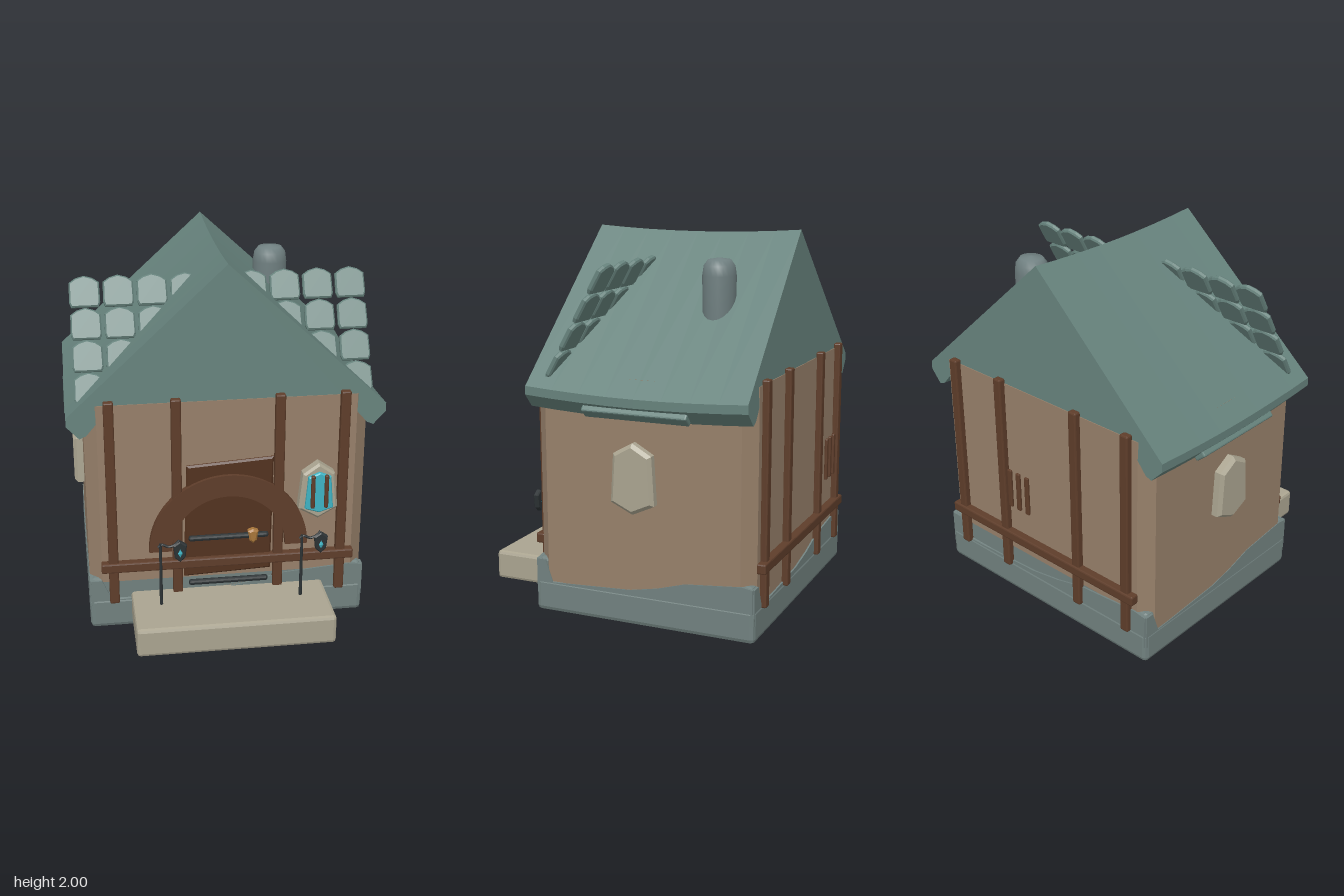
import * as THREE from 'three';
import { RoundedBoxGeometry } from 'three/addons/geometries/RoundedBoxGeometry.js';

const mat = (color) => new THREE.MeshStandardMaterial({ color, flatShading: true });
const M = {
  roof: mat(0x66827c), stone: mat(0x71817f), wall: mat(0x97806a), wood: mat(0x5e3d2a), door: mat(0x53321f),
  cream: mat(0xaaa490), iron: mat(0x2c3234), glass: mat(0x3fb4c4), gold: mat(0xa8763a),
};
const CZ = -0.115; // middle of the house in z

export function createModel() {
  const root = new THREE.Group();
  root.name = 'cottage';

  const add = (name, geo, material, x = 0, y = 0, z = 0, parent = root) => {
    const m = new THREE.Mesh(geo, material);
    m.name = name;
    m.position.set(x, y, z);
    parent.add(m);
    return m;
  };
  const box = (w, h, d, r = 0.008) => new RoundedBoxGeometry(w, h, d, 1, r);
  const poly = (pts) => new THREE.Shape(pts.map((p) => new THREE.Vector2(p[0], p[1])));
  // Bevelled plate whose outline is exactly the given points, from z = 0 to z = depth
  const plate = (pts, depth, bevel = 0.01) => {
    const g = new THREE.ExtrudeGeometry(poly(pts), {
      depth: depth - bevel, bevelEnabled: true, bevelSize: bevel, bevelOffset: -bevel, bevelThickness: bevel, bevelSegments: 1, curveSegments: 6,
    });
    return g;
  };

  // Stone foundation: wide footing and a slightly narrower upper course
  add('footing', box(1.496, 0.18, 1.23, 0.025), M.stone, 0, 0.095, CZ);
  add('foundation', box(1.476, 0.28, 1.206, 0.02), M.stone, 0, 0.16, CZ);

  // Plaster walls with chamfered corners
  const hx = 0.742, hz = 0.603, c = 0.065;
  const wallGeo = new THREE.ExtrudeGeometry(poly([
    [hx, -hz + c], [hx, hz - c], [hx - c, hz], [-hx + c, hz],
    [-hx, hz - c], [-hx, -hz + c], [-hx + c, -hz], [hx - c, -hz],
  ]), { depth: 1.125, bevelEnabled: false });
  wallGeo.rotateX(-Math.PI / 2);
  add('walls', wallGeo, M.wall, 0, 0.17, CZ);

  // Uneven stone edge rising along the foot of each wall
  for (let i = 0; i < 4; i++) {
    const w = i % 2 ? 0.605 : 0.738, out = i % 2 ? 0.746 : 0.612;
    const g = new THREE.ExtrudeGeometry(poly([
      [-w, 0.1], [w, 0.1], [w, 0.29], [w * 0.9, 0.3], [w * 0.4, 0.27], [w * 0.15, 0.225], [-w * 0.1, 0.195],
      [-w * 0.85, 0.17], [-w * 0.92, 0.29], [-w, 0.29],
    ]), { depth: 0.03, bevelEnabled: false });
    g.translate(0, 0, out - 0.03);
    add('stoneEdge', g, M.stone, 0, 0, CZ).rotation.y = i * Math.PI / 2;
  }

  // Roof: solid gable profile with a gentle sag along its length
  const roofGeo = new THREE.ExtrudeGeometry(poly([
    [0, 2], [-0.83, 1.235], [-0.83, 1.19], [-0.765, 1.12], [-0.73, 1.135], [-0.6, 1.285],
    [0.6, 1.285], [0.73, 1.135], [0.765, 1.12], [0.83, 1.19], [0.83, 1.235],
  ]), { depth: 2, steps: 8, bevelEnabled: false });
  const p = roofGeo.attributes.position;
  for (let i = 0; i < p.count; i++) {
    const t = p.getZ(i) - 1, y = p.getY(i);
    p.setZ(i, t * (0.605 - 0.028 * (y - 1.1) / 0.9));
    p.setY(i, y - 0.022 * (1 - t * t));
  }
  roofGeo.computeVertexNormals();
  add('roof', roofGeo, M.roof, 0, 0, CZ);
  for (const s of [-1, 1]) {
    add('eaveBoard', box(0.07, 0.08, 0.57), M.roof, s * 0.785, 1.145, CZ).rotation.z = s * 0.7;
  }

  // Tilted rows of shingles emerging from both roof slopes
  const tileGeo = plate([[-0.07, -0.08], [0.07, -0.08], [0.08, -0.055], [0.078, 0.05], [0.045, 0.073], [0, 0.086], [-0.045, 0.073], [-0.078, 0.05], [-0.08, -0.055]], 0.022, 0.008);
  for (let row = 0; row < 4; row++) {
    for (let col = 0; col < 4 - row; col++) {
      for (const s of [-1, 1]) {
        add('shingle', tileGeo, M.roof, s * (0.7 - 0.175 * col), 1.777 - 0.147 * row, 0.105 + 0.082 * row)
          .rotation.x = -0.51;
      }
    }
  }

  // Rounded chimney
  const chimney = [[0, 0], [0.08, 0], [0.093, 0.08], [0.096, 0.33], [0.088, 0.38], [0.065, 0.41], [0, 0.42]]
    .map((q) => new THREE.Vector2(q[0], q[1]));
  const chimneyMat = new THREE.MeshStandardMaterial({ color: 0x6f7f80 });
  add('chimney', new THREE.LatheGeometry(chimney, 20), chimneyMat, 0.357, 1.455, -0.38).scale.z = 0.9;

  // Timber framing on the front and back
  for (const z of [0.503, -0.732]) {
    for (const x of [-0.615, -0.273, 0.268, 0.61]) {
      add('post', box(0.052, 1.16, 0.04), M.wood, x, 0.742, z);
    }
    add('rail', box(1.36, 0.055, 0.05), M.wood, 0, 0.38, z + Math.sign(z) * 0.005);
  }

  // Door, arch and iron bars
  add('door', plate([[-0.24, 0.29], [0.23, 0.31], [0.24, 0.97], [-0.22, 0.94]], 0.03), M.door, 0, 0, 0.475);
  const arch = new THREE.Shape();
  arch.absarc(0, 0, 0.425, 0, Math.PI, false);
  arch.absarc(0, 0, 0.305, Math.PI, 0, true);
  add('doorArch', new THREE.ExtrudeGeometry(arch, { depth: 0.05, bevelEnabled: false, curveSegments: 20 }), M.wood, 0, 0.46, 0.475);
  for (const y of [0.525, 0.26]) add('doorBar', box(0.43, 0.03, 0.03, 0.012), M.iron, 0, y, 0.515);
  add('doorKnob', plate([[-0.028, 0.03], [-0.02, -0.025], [0, -0.042], [0.02, -0.025], [0.028, 0.03], [0, 0.042]], 0.035), M.gold, 0.13, 0.525, 0.505);

  // Doorstep
  add('doorstep', box(1.045, 0.16, 0.6, 0.018), M.cream, -0.002, 0.13, 0.582);

  // Lamp posts with curved arms and hanging lanterns
  for (const x of [-0.375, 0.372]) {
    const lamp = new THREE.Group();
    lamp.name = 'lampPost';
    lamp.position.set(x, 0, 0.635);
    root.add(lamp);
    add('pole', new THREE.CylinderGeometry(0.007, 0.009, 0.36, 8), M.iron, 0, 0.39, 0, lamp);
    const arm = new THREE.CatmullRomCurve3([[-0.012, 0.55], [0.005, 0.565], [0.045, 0.55], [0.075, 0.56], [0.1, 0.585]]
      .map((q) => new THREE.Vector3(q[0], q[1], 0)));
    add('arm', new THREE.TubeGeometry(arm, 14, 0.007, 6), M.iron, 0, 0, 0, lamp);
    add('lantern', plate([[-0.036, 0.035], [-0.028, -0.035], [0, -0.06], [0.028, -0.035], [0.036, 0.035], [0, 0.06]], 0.024, 0.006), M.iron, 0.102, 0.52, -0.012, lamp);
    for (const s of [-1, 1]) {
      const gem = add('lanternGlass', new THREE.OctahedronGeometry(0.03), M.glass, 0.102, 0.512, s * 0.01, lamp);
      gem.scale.set(0.55, 1, 0.3);
    }
  }

  // Front window with glass and bars
  add('windowFrame', plate([[0, 0.17], [-0.085, 0.11], [-0.105, -0.09], [0, -0.15], [0.105, -0.09], [0.085, 0.11]], 0.06, 0.012), M.cream, 0.475, 0.765, 0.488);
  add('windowGlass', plate([[-0.06, 0.1], [-0.075, -0.08], [0, -0.105], [0.075, -0.08], [0.06, 0.1], [0, 0.125]], 0.025, 0.006), M.glass, 0.475, 0.765, 0.545);
  for (const x of [0.438, 0.51]) add('windowBar', box(0.022, 0.19, 0.022), M.wood, x, 0.785, 0.572);

  // Side windows
  const sideGeo = plate([[0, 0.185], [-0.105, 0.125], [-0.12, -0.13], [0, -0.185], [0.12, -0.13], [0.105, 0.125]], 0.065, 0.018);
  for (const s of [-1, 1]) {
    add('sideWindow', sideGeo, M.cream, s * 0.73, 0.795, -0.085).rotation.y = s * Math.PI / 2;
  }

  // Three upright bars standing off the back wall
  for (const x of [-0.064, -0.002, 0.06]) add('backBar', box(0.027, 0.22, 0.016, 0.005), M.wood, x, 0.81, -0.875);

  return root;
}
